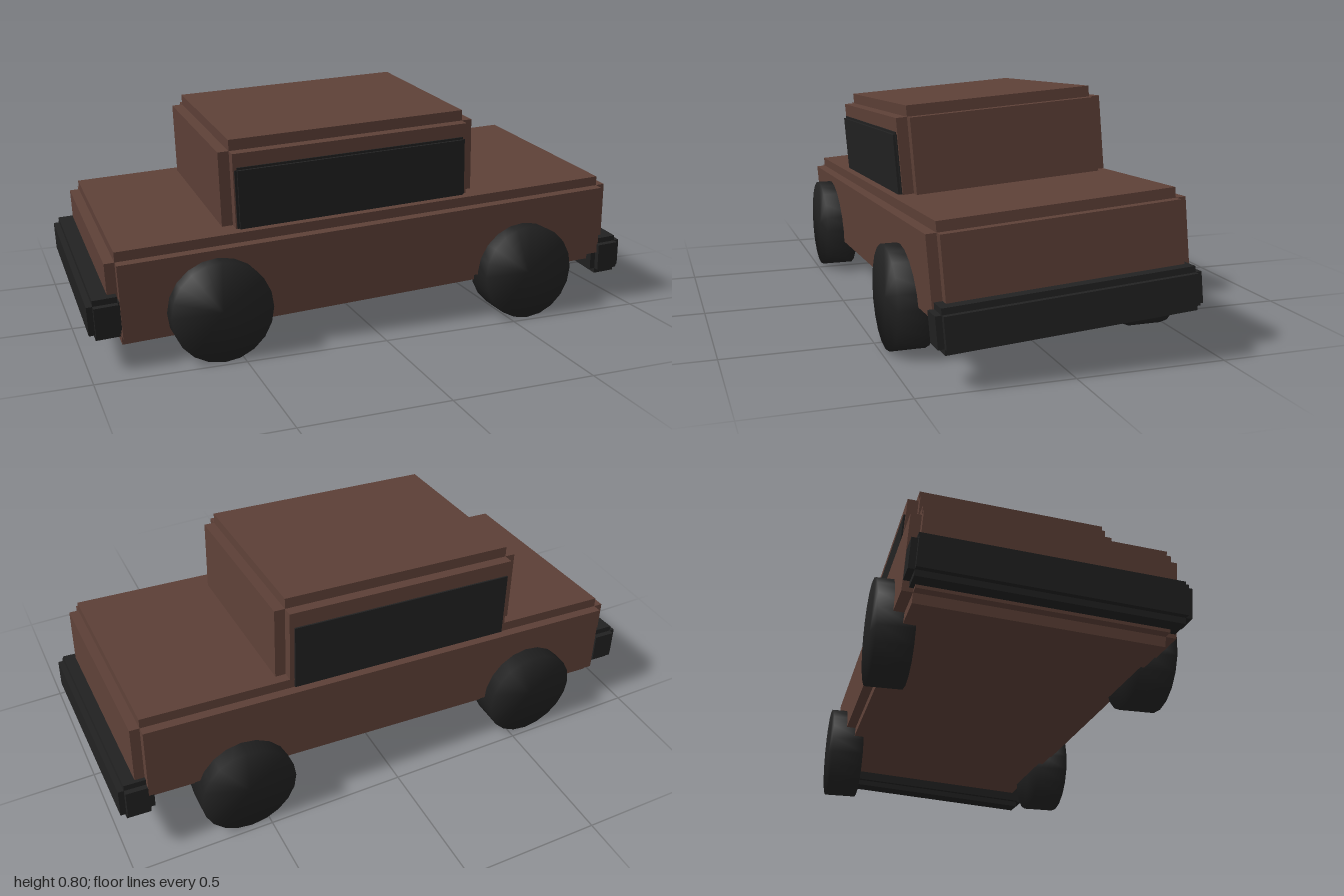
import * as THREE from 'three';
import { mergeVertices } from 'three/addons/utils/BufferGeometryUtils.js';

export function createModel() {
  const car = new THREE.Group();
  car.name = 'car';

  const brown = new THREE.MeshStandardMaterial({ color: 0x5d4037 });
  brown.name = 'brown paint';
  const black = new THREE.MeshStandardMaterial({ color: 0x212121 });
  black.name = 'black rubber and glass';

  // Block with stepped edges: three crossing boxes, each full size along one axis.
  // Every block leans by the same small roll and pitch about its own centre.
  function steppedBlock(name, material, size, step, position) {
    const block = new THREE.Group();
    block.name = name;
    for (let axis = 0; axis < 3; axis++) {
      const dims = size.map((s, i) => (i === axis ? s : s - 2 * step));
      const box = new THREE.Mesh(new THREE.BoxGeometry(...dims), material);
      box.name = name + 'Core' + 'XYZ'[axis];
      block.add(box);
    }
    block.position.set(...position);
    block.rotation.set(0.07, 0, 0.052);
    car.add(block);
  }

  steppedBlock('body', brown, [1.855, 0.325, 0.842], 0.034, [0, 0.302, 0]);
  steppedBlock('cabin', brown, [0.927, 0.34, 0.737], 0.038, [-0.07, 0.589, 0]);
  // Side windows are the two ends of one slab passing through the cabin
  steppedBlock('sideWindows', black, [0.838, 0.25, 0.755], 0.008, [-0.07, 0.548, 0]);
  steppedBlock('leftBumper', black, [0.12, 0.14, 0.855], 0.02, [0.936, 0.205, 0]);
  steppedBlock('rightBumper', black, [0.12, 0.14, 0.855], 0.02, [-0.936, 0.205, 0]);

  // Wheels: short cylinders with normals blended across the rim
  let wheelGeometry = new THREE.CylinderGeometry(0.172, 0.172, 0.118, 20).rotateX(Math.PI / 2);
  wheelGeometry.deleteAttribute('normal');
  wheelGeometry.deleteAttribute('uv');
  wheelGeometry = mergeVertices(wheelGeometry, 1e-4);
  wheelGeometry.computeVertexNormals();
  for (const x of [-0.57, 0.566]) {
    for (const side of [1, -1]) {
      const wheel = new THREE.Mesh(wheelGeometry, black);
      wheel.name = (side > 0 ? 'front' : 'back') + (x > 0 ? 'Left' : 'Right') + 'Wheel';
      wheel.position.set(x, 0.172, side * 0.419);
      car.add(wheel);
    }
  }
  return car;
}
